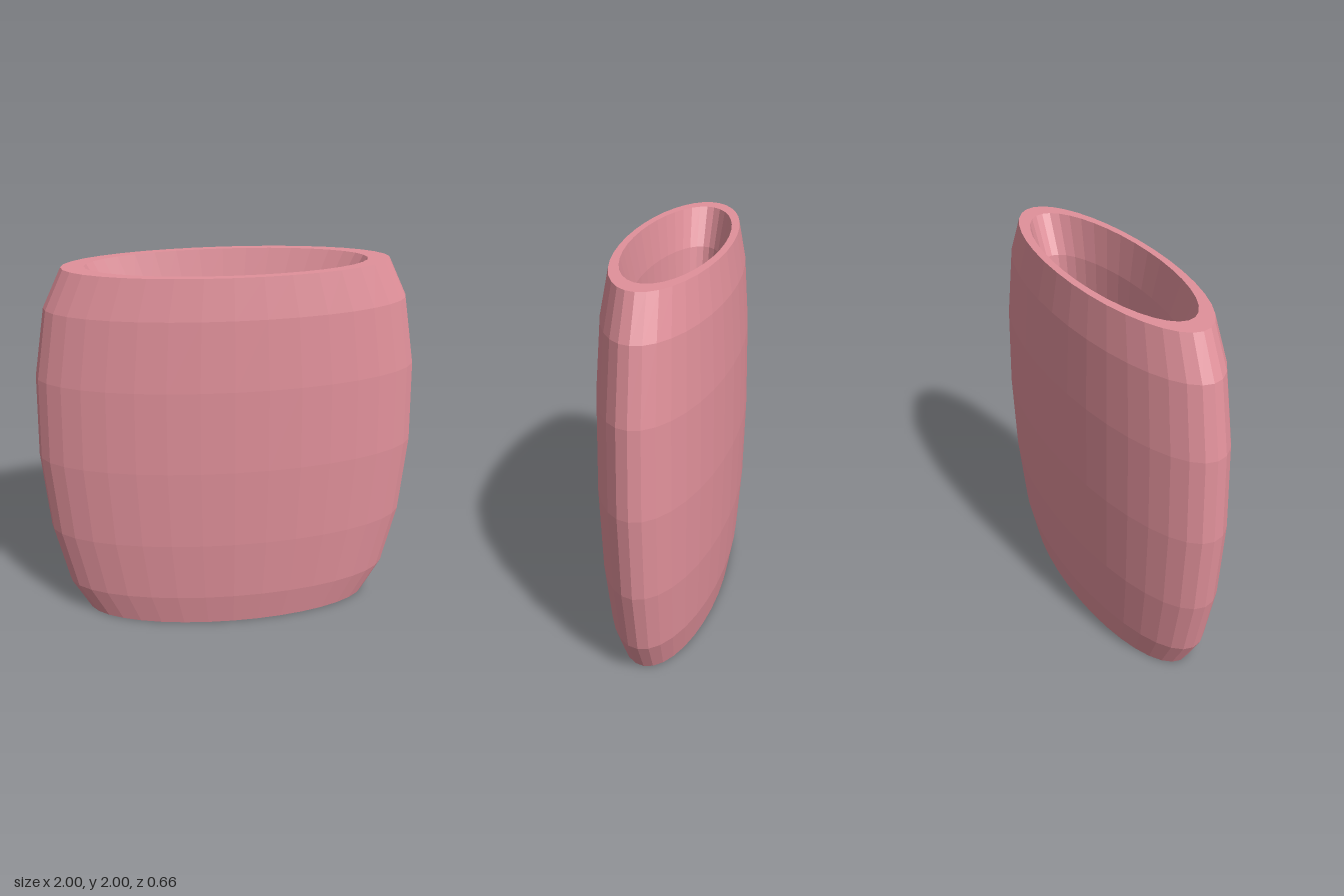
import * as THREE from 'three';

export function createModel() {
  const group = new THREE.Group();
  group.name = 'ovalSleeve';

  // Hollow oval band: a 14-sided ring stretched tall and squeezed front to back
  const sides = 14, tube = 0.25;
  const halfHeight = tube * Math.sin((2 * Math.PI * 3) / sides);
  const geometry = new THREE.TorusGeometry(0.75, tube, sides, 36);
  geometry.rotateX(-Math.PI / 2);
  geometry.scale(1, 1 / halfHeight, 0.33);
  geometry.translate(0, 1, 0);

  const band = new THREE.Mesh(
    geometry,
    new THREE.MeshStandardMaterial({ color: 0xe0909a, flatShading: true })
  );
  band.name = 'band';
  group.add(band);
  return group;
}
